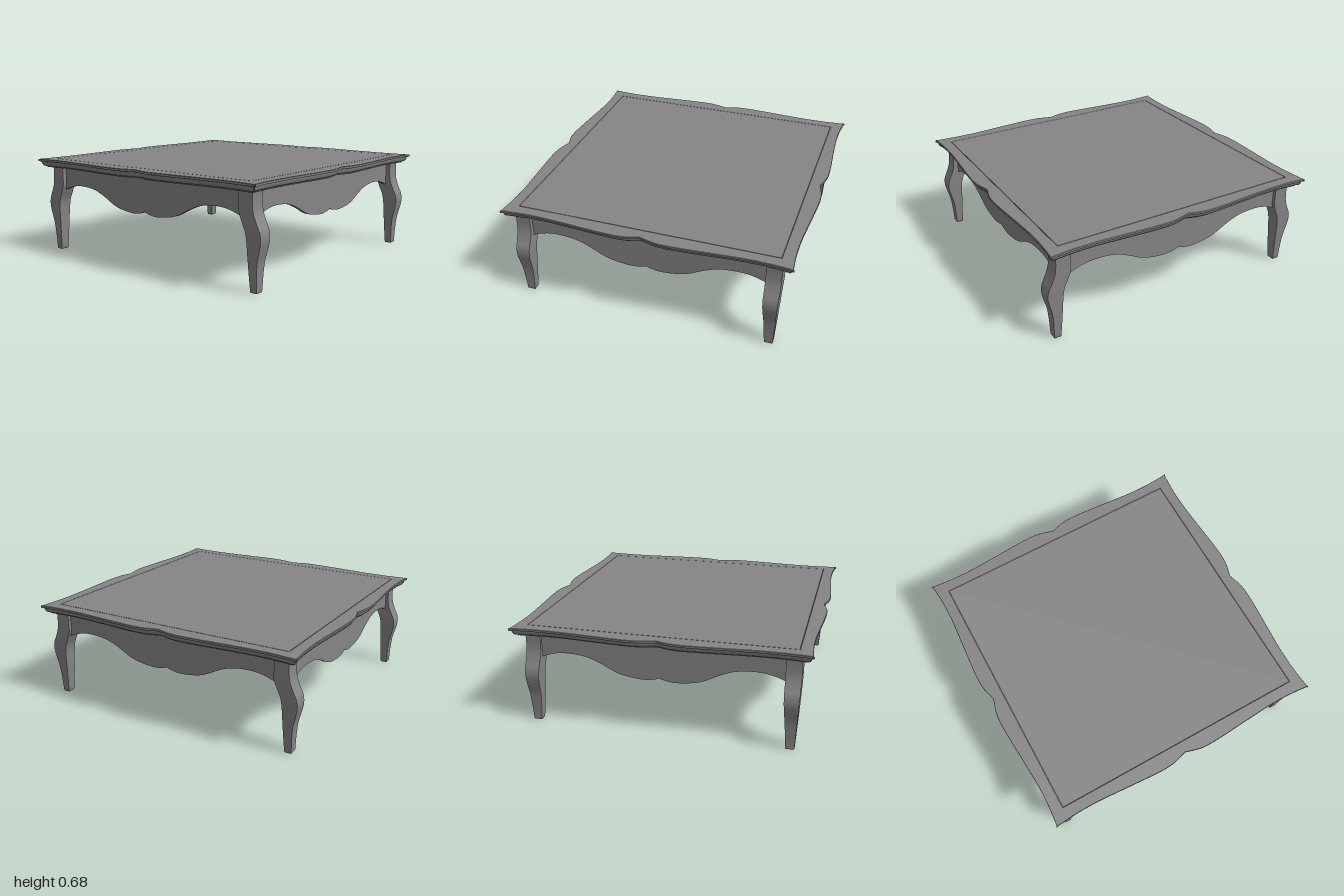
import * as THREE from 'three';
import { toCreasedNormals } from 'three/addons/utils/BufferGeometryUtils.js';

const material = new THREE.MeshStandardMaterial({ color: 0x858585 });

function addMesh(parent, geometry, name) {
  const mesh = new THREE.Mesh(geometry, material);
  mesh.name = name;
  parent.add(mesh);
  return mesh;
}

// Skin rows of points from bottom to top; closed rows form a capped solid, open rows a strip
function loft(rows, closed, crease) {
  const pos = [];
  const tri = (...pts) => pts.forEach((p) => pos.push(p.x, p.y, p.z));
  const n = rows[0].length;
  for (let r = 0; r < rows.length - 1; r++) {
    const a = rows[r], b = rows[r + 1];
    for (let i = 0; i < (closed ? n : n - 1); i++) {
      const j = (i + 1) % n;
      tri(a[i], a[j], b[j]);
      tri(a[i], b[j], b[i]);
    }
  }
  if (closed) {
    const lo = rows[0], hi = rows[rows.length - 1];
    for (let i = 1; i < n - 1; i++) {
      tri(lo[0], lo[i + 1], lo[i]);
      tri(hi[0], hi[i], hi[i + 1]);
    }
  }
  const geometry = new THREE.BufferGeometry();
  geometry.setAttribute('position', new THREE.Float32BufferAttribute(pos, 3));
  return toCreasedNormals(geometry, crease);
}

// Sample a half curve starting at x = 0 and mirror it to run from -x to +x
function mirroredCurve(points, divisions) {
  const half = new THREE.SplineCurve(points.map(([x, y]) => new THREE.Vector2(x, y))).getPoints(divisions);
  const left = half.slice(1).reverse().map((p) => new THREE.Vector2(-p.x, p.y));
  return [...left, ...half];
}

const CORNER = 0.983;
const PANEL = 0.89;

// One mitred side of the frame: scalloped outer edge, straight inner edge
function frameSideGeometry() {
  const edge = mirroredCurve([
    [0, 0.966], [0.04, 0.978], [0.1, 0.994], [0.18, 1], [0.3, 0.995], [0.5, 0.981],
    [0.65, 0.971], [0.76, 0.969], [0.86, 0.972], [CORNER - 0.005, CORNER - 0.001], [CORNER, CORNER],
  ], 40);
  // The top face dips at both ends so that the mitre shows as a fine groove
  const row = (y, place) => edge.map((p, i) => {
    const atMitre = i === 0 || i === edge.length - 1;
    const [x, z] = place(p);
    return new THREE.Vector3(x, atMitre && y > 0.672 ? y - 0.004 : y, z);
  });
  const scalloped = (inset, y) => row(y, (p) => [p.x * (CORNER - inset) / CORNER, p.y - inset]);
  const straight = (half, y) => row(y, (p) => [p.x * half / CORNER, half]);

  // Edge moulding: [inset, height]
  const moulding = [
    [0.043, 0.615], [0.043, 0.622], [0.033, 0.624], [0.025, 0.629], [0.019, 0.637],
    [0.016, 0.647], [0.014, 0.656], [0.001, 0.659], [0, 0.661], [0, 0.673], [0.002, 0.675],
  ];
  return loft([
    straight(PANEL, 0.615),
    ...moulding.map(([inset, y]) => scalloped(inset, y)),
    straight(PANEL + 0.004, 0.675),
    straight(PANEL, 0.67),
  ], false, 0.6);
}

function buildTop() {
  const top = new THREE.Group();
  top.name = 'tableTop';
  const side = frameSideGeometry();
  ['frontFrame', 'leftFrame', 'backFrame', 'rightFrame'].forEach((name, i) => {
    addMesh(top, side, name).rotation.y = i * Math.PI / 2;
  });

  // Flat centre panel, set off by a fine groove
  const panel = addMesh(top, new THREE.BoxGeometry(2 * PANEL, 0.06, 2 * PANEL), 'topPanel');
  panel.position.y = 0.645;
  return top;
}

function apronGeometry() {
  const lower = mirroredCurve([
    [0, 0.383], [0.04, 0.37], [0.11, 0.362], [0.22, 0.374], [0.3, 0.397], [0.4, 0.447],
    [0.5, 0.483], [0.62, 0.495], [0.72, 0.485], [0.83, 0.448],
  ], 32);
  const shape = new THREE.Shape(lower);
  shape.lineTo(0.83, 0.618);
  shape.lineTo(-0.83, 0.618);
  shape.closePath();
  const geometry = new THREE.ExtrudeGeometry(shape, { depth: 0.025, bevelEnabled: false });
  geometry.translate(0, 0, 0.86);
  return toCreasedNormals(geometry, 0.35);
}

// Leg centred on x = 0: tapered across x, S-curved along z
function legGeometry() {
  // [y, inner z, outer z, half width]
  const rows = [
    [0.005, 0.886, 0.934, 0.028], [0.1, 0.88, 0.937, 0.034], [0.2, 0.875, 0.946, 0.04],
    [0.27, 0.872, 0.964, 0.044], [0.33, 0.868, 0.975, 0.047], [0.38, 0.858, 0.969, 0.049],
    [0.43, 0.836, 0.946, 0.05], [0.49, 0.815, 0.923, 0.051], [0.55, 0.815, 0.916, 0.051],
    [0.618, 0.815, 0.916, 0.051],
  ];
  const track = (k) => new THREE.CatmullRomCurve3(rows.map((r) => new THREE.Vector3(r[k], r[0], 0)));
  const [inner, outer, width] = [1, 2, 3].map(track);
  const section = (y, zi, zo, w) => [[-w, zo], [w, zo], [w, zi], [-w, zi]]
    .map(([x, z]) => new THREE.Vector3(x, y, z));
  const rings = [section(0, 0.889, 0.931, 0.025)];
  const steps = 36;
  for (let i = 0; i <= steps; i++) {
    const t = i / steps;
    const a = inner.getPoint(t);
    rings.push(section(a.y, a.x, outer.getPoint(t).x, width.getPoint(t).x));
  }
  return loft(rings, true, 0.5);
}

export function createModel() {
  const table = new THREE.Group();
  table.name = 'coffeeTable';
  table.add(buildTop());

  // Aprons on all four sides
  const apron = apronGeometry();
  ['frontApron', 'leftApron', 'backApron', 'rightApron'].forEach((name, i) => {
    addMesh(table, apron, name).rotation.y = i * Math.PI / 2;
  });

  // Legs: the back pair is turned around and set slightly inward
  const leg = legGeometry();
  for (const [end, turn, z] of [['front', 0, 0], ['back', Math.PI, 0.012]]) {
    for (const [side, x] of [['Left', 0.857], ['Right', -0.864]]) {
      const mesh = addMesh(table, leg, `${end}${side}Leg`);
      mesh.rotation.y = turn;
      mesh.position.set(x, 0, z);
    }
  }
  return table;
}
